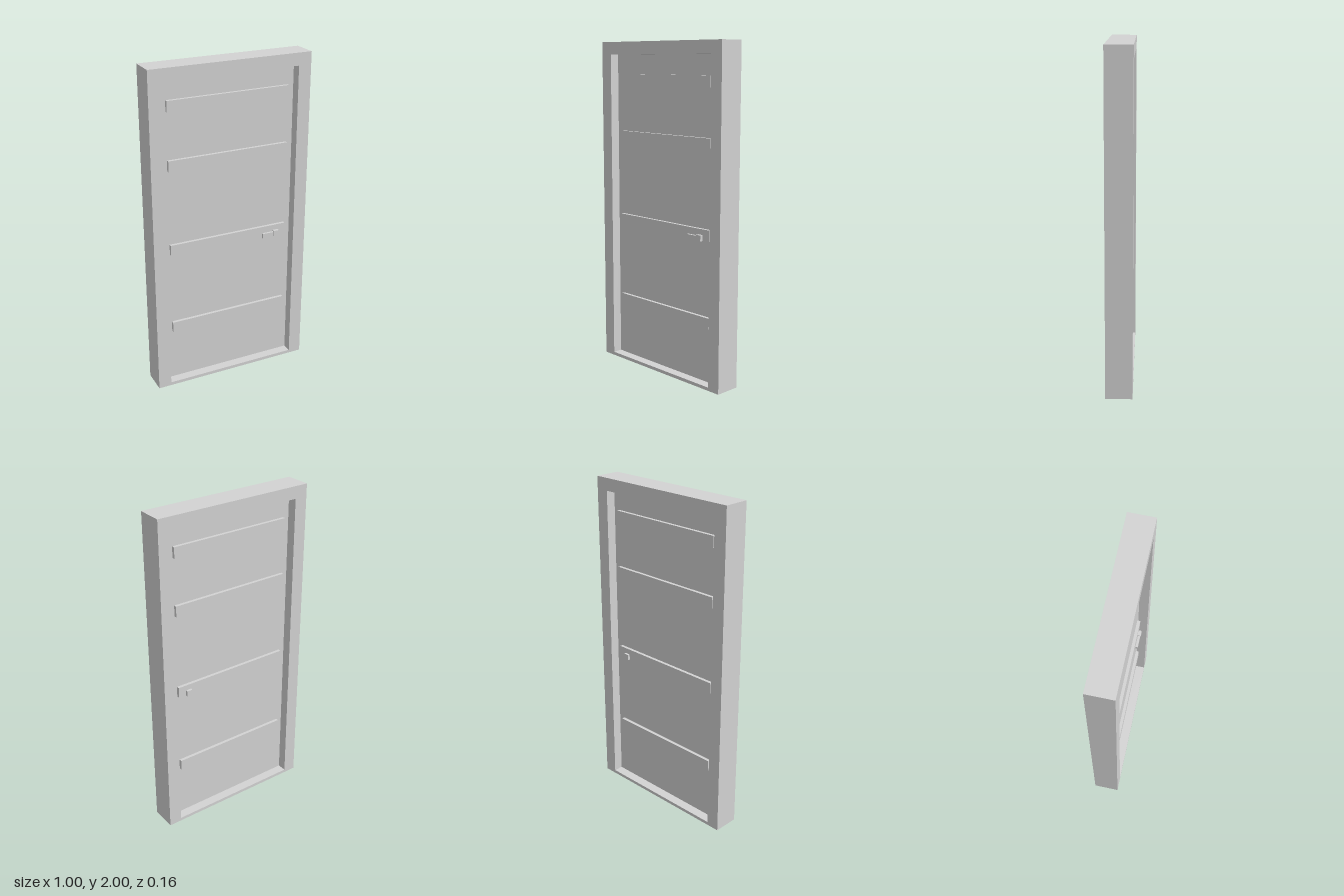
import * as THREE from 'three';

export function createModel() {
  const door = new THREE.Group();
  door.name = 'door';
  const grey = new THREE.MeshStandardMaterial({ color: 0xd3d3d3 });
  grey.name = 'lightGrey';

  const add = (name, geometry, x = 0, y = 0, z = 0) => {
    const mesh = new THREE.Mesh(geometry, grey);
    mesh.name = name;
    mesh.position.set(x, y, z);
    door.add(mesh);
  };
  // Box given by its lower and upper limits on each axis
  const addBox = (name, [x0, x1], [y0, y1], [z0, z1]) =>
    add(name, new THREE.BoxGeometry(x1 - x0, y1 - y0, z1 - z0),
      (x0 + x1) / 2, (y0 + y1) / 2, (z0 + z1) / 2);
  const rectangle = (Type, x, y0, y1) => new Type([
    new THREE.Vector2(-x, y0), new THREE.Vector2(x, y0),
    new THREE.Vector2(x, y1), new THREE.Vector2(-x, y1),
  ]);

  // Frame with a low threshold
  const outline = rectangle(THREE.Shape, 0.5, 0, 2);
  outline.holes.push(rectangle(THREE.Path, 0.42, 0.02, 1.925));
  add('frame', new THREE.ExtrudeGeometry(outline, { depth: 0.157, bevelEnabled: false }), 0, 0, -0.0785);

  // Door leaf set deep in the frame
  addBox('panel', [-0.42, 0.42], [0.02, 1.925], [-0.02, 0.02]);

  // Cross bars, standing out on both faces of the leaf
  for (const y of [0.352, 0.872, 1.395, 1.742])
    addBox('crossBar', [-0.38, 0.38], [y, y + 0.066], [-0.039, 0.039]);

  // Handle: lever on the front, plain knob on the back
  addBox('handleBase', [0.295, 0.33], [0.87, 0.905], [0.03, 0.059]);
  addBox('handleLever', [0.22, 0.296], [0.87, 0.898], [0.042, 0.056]);
  addBox('backKnob', [0.295, 0.33], [0.87, 0.905], [-0.054, -0.03]);

  return door;
}
